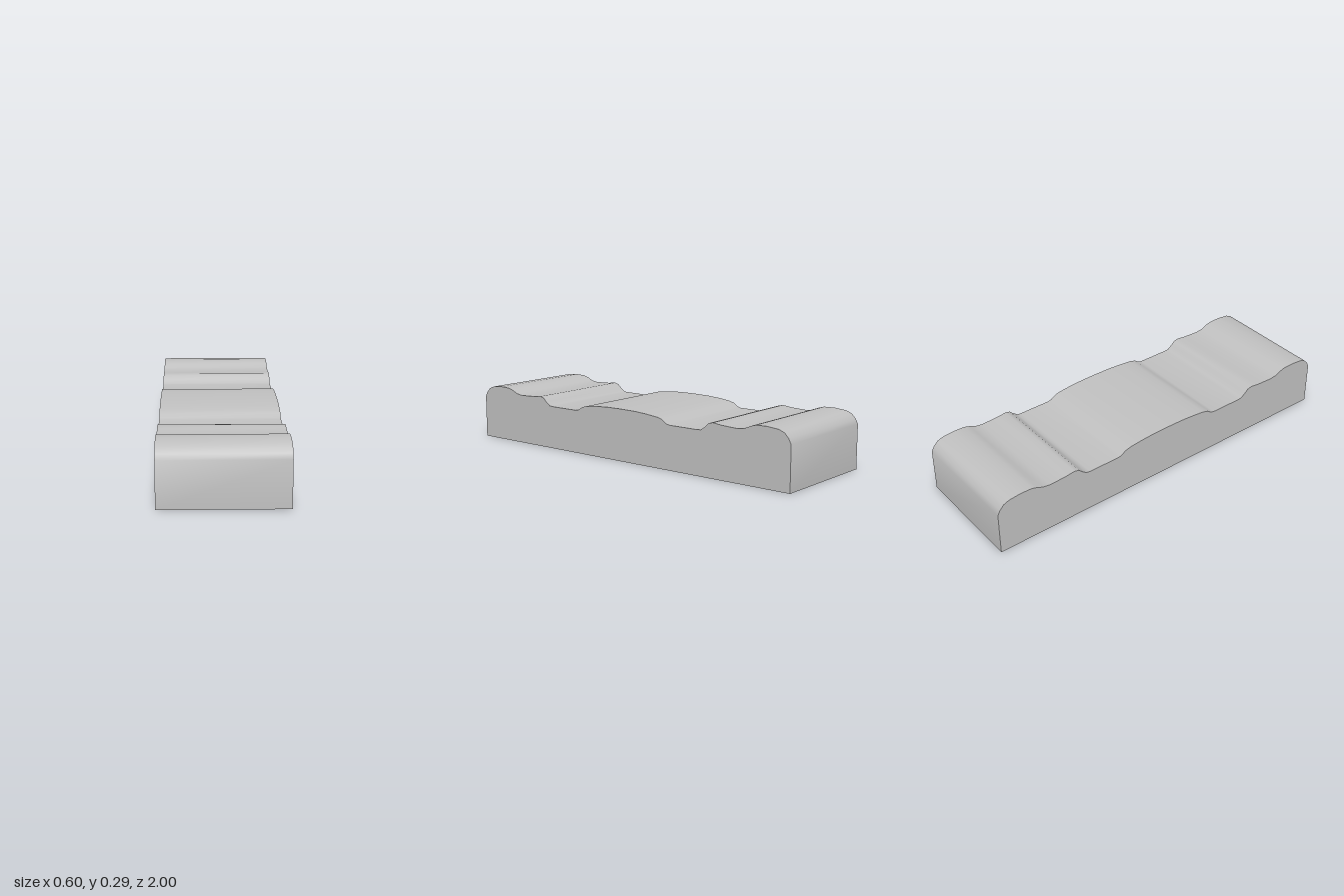
import * as THREE from 'three';
import { toCreasedNormals } from 'three/addons/utils/BufferGeometryUtils.js';

export function createModel() {
  const group = new THREE.Group();
  group.name = 'contouredBlock';
  const grey = new THREE.MeshStandardMaterial({ color: 0xc0c0c0 });
  grey.name = 'grey';

  // Half of the side profile: [distance from the middle, height], end to middle
  const half = [
    [1, 0], [1, 0.225], [0.987, 0.25], [0.965, 0.273], [0.935, 0.285], [0.87, 0.291],
    [0.81, 0.289], [0.78, 0.28], [0.75, 0.266], [0.71, 0.26], [0.62, 0.264], [0.57, 0.27],
    [0.545, 0.264], [0.525, 0.245], [0.5, 0.227], [0.48, 0.225], [0.31, 0.225], [0.29, 0.23],
    [0.265, 0.247], [0.235, 0.255], [0.17, 0.262], [0.09, 0.267], [0, 0.268],
  ];
  const mirrored = half.slice(0, -1).reverse().map(([d, y]) => [-d, y]);
  const profile = new THREE.Shape([...half, ...mirrored].map(([d, y]) => new THREE.Vector2(d, y)));

  // Sweep the profile across the width
  const width = 0.6;
  const geometry = new THREE.ExtrudeGeometry(profile, { depth: width, bevelEnabled: false });
  geometry.translate(0, 0, -width / 2);
  geometry.rotateY(Math.PI / 2);

  // Soft top contours, sharp sides and base
  const body = new THREE.Mesh(toCreasedNormals(geometry, Math.PI / 4), grey);
  body.name = 'body';
  group.add(body);
  return group;
}
